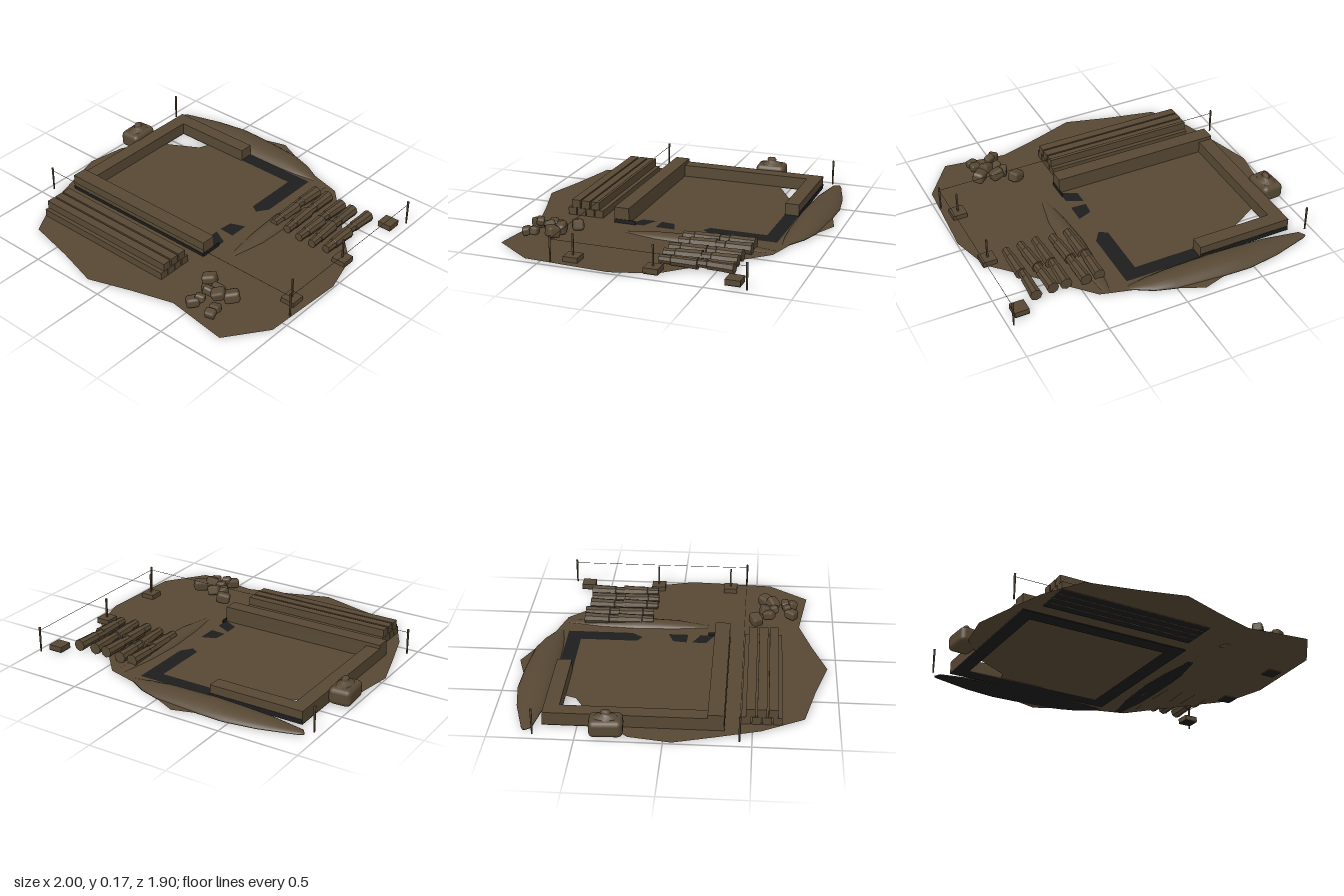
import * as THREE from 'three';
import { RoundedBoxGeometry } from 'three/addons/geometries/RoundedBoxGeometry.js';

export function createModel() {
  const root = new THREE.Group();
  const earth = new THREE.MeshStandardMaterial({ color: 0x574834, side: THREE.DoubleSide });
  earth.name = 'earth brown';
  const dark = new THREE.MeshStandardMaterial({ color: 0x1d1d1d, side: THREE.DoubleSide });
  dark.name = 'trench charcoal';

  const add = (name, geo, mat = earth, x = 0, y = 0, z = 0, parent = root) => {
    const m = new THREE.Mesh(geo, mat);
    m.name = name;
    m.position.set(x, y, z);
    parent.add(m);
    return m;
  };
  const group = (name) => {
    const g = new THREE.Group();
    g.name = name;
    root.add(g);
    return g;
  };
  // Box given by its limits on each axis
  const block = (name, x0, x1, y0, y1, z0, z1, mat = earth, parent = root) =>
    add(name, new THREE.BoxGeometry(x1 - x0, y1 - y0, z1 - z0), mat,
      (x0 + x1) / 2, (y0 + y1) / 2, (z0 + z1) / 2, parent);
  // Flat outline of [x, z] points lying at height y
  const plate = (name, pts, y, mat, parent = root) => {
    const geo = new THREE.ShapeGeometry(new THREE.Shape(pts.map(([x, z]) => new THREE.Vector2(x, -z))));
    geo.rotateX(-Math.PI / 2);
    return add(name, geo, mat, 0, y, 0, parent);
  };
  // Dark rectangle on the underside
  const underside = (x0, x1, z0, z1, parent) =>
    plate('underside', [[x0, z0], [x1, z0], [x1, z1], [x0, z1]], 0, dark, parent);

  // Uneven building plot
  plate('ground', [
    [-0.13, 0.946], [0.14, 0.855], [0.395, 0.78], [0.79, 0.835], [0.97, 0.59], [0.998, 0.06],
    [0.925, -0.2], [0.8, -0.33], [0.55, -0.6], [0.43, -0.73], [0.23, -0.785], [0.13, -0.84], [0, -0.88],
    [-0.15, -0.95], [-0.3, -0.905], [-0.48, -0.76], [-0.545, -0.61], [-0.57, -0.545], [-0.77, -0.43],
    [-0.96, -0.2], [-1, 0.05], [-0.93, 0.29], [-0.85, 0.55], [-0.71, 0.8], [-0.4, 0.87],
  ], 0.005, earth);

  // Footing trench: open stretches on top, full ring underneath, low rims at the outer faces
  const trench = group('trench');
  plate('trenchCorner', [[-0.25, -0.7], [0.24, -0.7], [0.24, -0.29], [0.19, -0.22], [0.14, -0.25],
    [0.14, -0.61], [-0.25, -0.61]], 0.008, dark, trench);
  plate('trenchPatch', [[0.15, -0.02], [0.24, -0.055], [0.24, 0.07], [0.14, 0.065]], 0.008, dark, trench);
  plate('trenchPatch', [[0.14, 0.1], [0.24, 0.15], [0.24, 0.24], [0.14, 0.19]], 0.008, dark, trench);
  underside(0.14, 0.24, -0.7, 0.34, trench);
  underside(-0.86, 0.14, -0.7, -0.61, trench);
  underside(-0.86, 0.14, 0.245, 0.34, trench);
  underside(-0.86, -0.77, -0.61, 0.245, trench);
  block('frontRim', -0.86, 0.24, 0, 0.026, 0.339, 0.342, dark, trench);
  block('backRim', -0.86, -0.25, 0, 0.03, -0.702, -0.699, dark, trench);
  block('endRim', 0.239, 0.242, 0, 0.03, 0.2, 0.34, dark, trench);

  // Low foundation walls
  const walls = group('foundationWalls');
  block('frontWall', -0.86, 0.24, 0.003, 0.105, 0.245, 0.34, earth, walls);
  block('sideWall', -0.86, -0.77, 0.003, 0.082, -0.7, 0.245, earth, walls);
  block('backWall', -0.77, -0.25, 0.003, 0.082, -0.7, -0.61, earth, walls);

  // Earth banks lofted along a line; each station is [along, low side, high side, height]
  const bank = (name, stations, alongZ) => {
    const n = 8, pos = [], index = [];
    stations.forEach(([a, lo, hi, h], i) => {
      for (let j = 0; j <= n; j++) {
        const t = Math.PI * j / n;
        const c = (lo + hi) / 2 - Math.cos(t) * (hi - lo) / 2;
        const y = 0.004 + h * Math.sin(t) ** 1.3;
        pos.push(...(alongZ ? [c, y, a] : [a, y, c]));
        if (i && j) {
          const q = i * (n + 1) + j, p = q - n - 1;
          index.push(...(alongZ ? [p - 1, q - 1, p, p, q - 1, q] : [p - 1, p, q - 1, p, q, q - 1]));
        }
      }
    });
    const geo = new THREE.BufferGeometry();
    geo.setAttribute('position', new THREE.Float32BufferAttribute(pos, 3));
    geo.setIndex(index);
    geo.computeVertexNormals();
    add(name, geo);
    const rim = [...stations.map(([a, lo]) => [a, lo]), ...stations.map(([a, , hi]) => [a, hi]).reverse()];
    plate(name + 'Underside', alongZ ? rim.map(([a, c]) => [c, a]) : rim, 0.001, dark);
  };
  bank('backBank', [[-0.925, -0.802, -0.79, 0.004], [-0.9, -0.815, -0.755, 0.012], [-0.67, -0.88, -0.715, 0.03],
    [-0.47, -0.91, -0.705, 0.045], [-0.3, -0.905, -0.7, 0.05], [0, -0.88, -0.705, 0.042],
    [0.13, -0.84, -0.715, 0.025], [0.25, -0.77, -0.735, 0.004]], false);
  bank('sideBank', [[-0.73, 0.36, 0.4, 0.003], [-0.5, 0.32, 0.43, 0.02], [-0.25, 0.305, 0.435, 0.035],
    [0, 0.32, 0.425, 0.025], [0.21, 0.35, 0.38, 0.003]], true);

  // Stacked timber beams in two layers
  const timber = group('timberStack');
  for (let i = 0; i < 4; i++) {
    const z = 0.435 + i * 0.06;
    block('lowerBeam', -0.78, 0.2, 0.003, 0.052, z, z + 0.054, earth, timber);
    underside(-0.78, 0.2, z, z + 0.054, timber);
  }
  for (let i = 0; i < 3; i++) {
    const z = 0.46 + i * 0.065;
    block('upperBeam', -0.78, 0.2, 0.054, 0.104, z, z + 0.055, earth, timber);
  }

  // Log pile: two tapered lengths per row, each with a narrow waist
  const logs = group('logPile');
  const logProfile = [[0, 0], [0.027, 0], [0.029, 0.07], [0.033, 0.075], [0.034, 0.16], [0.038, 0.23], [0, 0.23]];
  const logGeo = new THREE.LatheGeometry(logProfile.map(([r, y]) => new THREE.Vector2(r, y)), 8).toNonIndexed();
  logGeo.rotateX(-Math.PI / 2);
  logGeo.computeVertexNormals();
  [[0.365, -0.165], [0.465, -0.17], [0.57, -0.152], [0.667, -0.152], [0.765, -0.165]].forEach(([x, z], i) => {
    const lean = (i % 2 ? 1 : -1) * 0.03;
    add('frontLog', logGeo, earth, x + 0.01, 0.036, z, logs).rotation.y = lean + 0.03;
    add('backLog', logGeo, earth, x, 0.038, z - 0.215, logs).rotation.y = lean;
  });

  // Heap of rough stones: x, y, z, size, turn
  const stones = group('stoneHeap');
  [[0.43, 0.035, 0.5, 0.09, 0.5], [0.54, 0.045, 0.56, 0.085, 0.2], [0.65, 0.06, 0.565, 0.095, 0.8],
    [0.49, 0.04, 0.585, 0.075, 1.1], [0.59, 0.073, 0.61, 0.085, 0.6], [0.52, 0.065, 0.615, 0.065, 0.3],
    [0.635, 0.045, 0.69, 0.065, 0.1], [0.64, 0.04, 0.74, 0.065, 0.3], [0.5, 0.045, 0.73, 0.08, 0.9],
    [0.53, 0.07, 0.7, 0.06, 0.4]].forEach(([x, y, z, s, a], i) => {
    const m = add('stone', new RoundedBoxGeometry(s, s * 0.75, s * 0.8, 1, s * 0.2), earth, x, y, z, stones);
    m.rotation.set(0.25 * Math.sin(i * 2), a, 0.25 * Math.cos(i * 3));
  });

  // Tied sack by the side wall: squarish body, sloping shoulders and a knotted neck
  const sack = group('sack');
  add('sackBody', new RoundedBoxGeometry(0.14, 0.105, 0.195, 2, 0.03), earth, -0.927, 0.06, -0.325, sack)
    .rotation.y = 0.06;
  const neckProfile = [[0.06, 0.105], [0.05, 0.118], [0.02, 0.13], [0.024, 0.14], [0.018, 0.154], [0, 0.155]];
  const neckGeo = new THREE.LatheGeometry(neckProfile.map(([r, y]) => new THREE.Vector2(r, y)), 8);
  neckGeo.scale(0.9, 1, 1.35);
  add('sackNeck', neckGeo, earth, -0.925, 0, -0.325, sack);

  // Footing pads, two with upright rods
  const footings = group('footings');
  [-0.65, -0.17, 0.32].forEach((z, i) => {
    block('footingPad', 0.85, 0.94, 0.003, 0.036, z - 0.045, z + 0.045, earth, footings);
    underside(0.85, 0.94, z - 0.045, z + 0.045, footings);
    if (i) block('footingRod', 0.89, 0.9, 0.036, 0.165, z - 0.005, z + 0.005, earth, footings);
  });

  // Corner stakes joined by a marking line
  const markers = group('markerLine');
  for (const x of [-0.958, 0.968])
    for (const z of [-0.742, 0.43])
      add('stake', new THREE.CylinderGeometry(0.007, 0.005, 0.163, 6), earth, x, 0.083, z, markers);
  block('frontLine', -0.958, 0.968, 0.1425, 0.1445, 0.429, 0.431, earth, markers);
  block('sideLine', 0.967, 0.969, 0.1425, 0.1445, -0.742, 0.43, earth, markers);

  return root;
}
